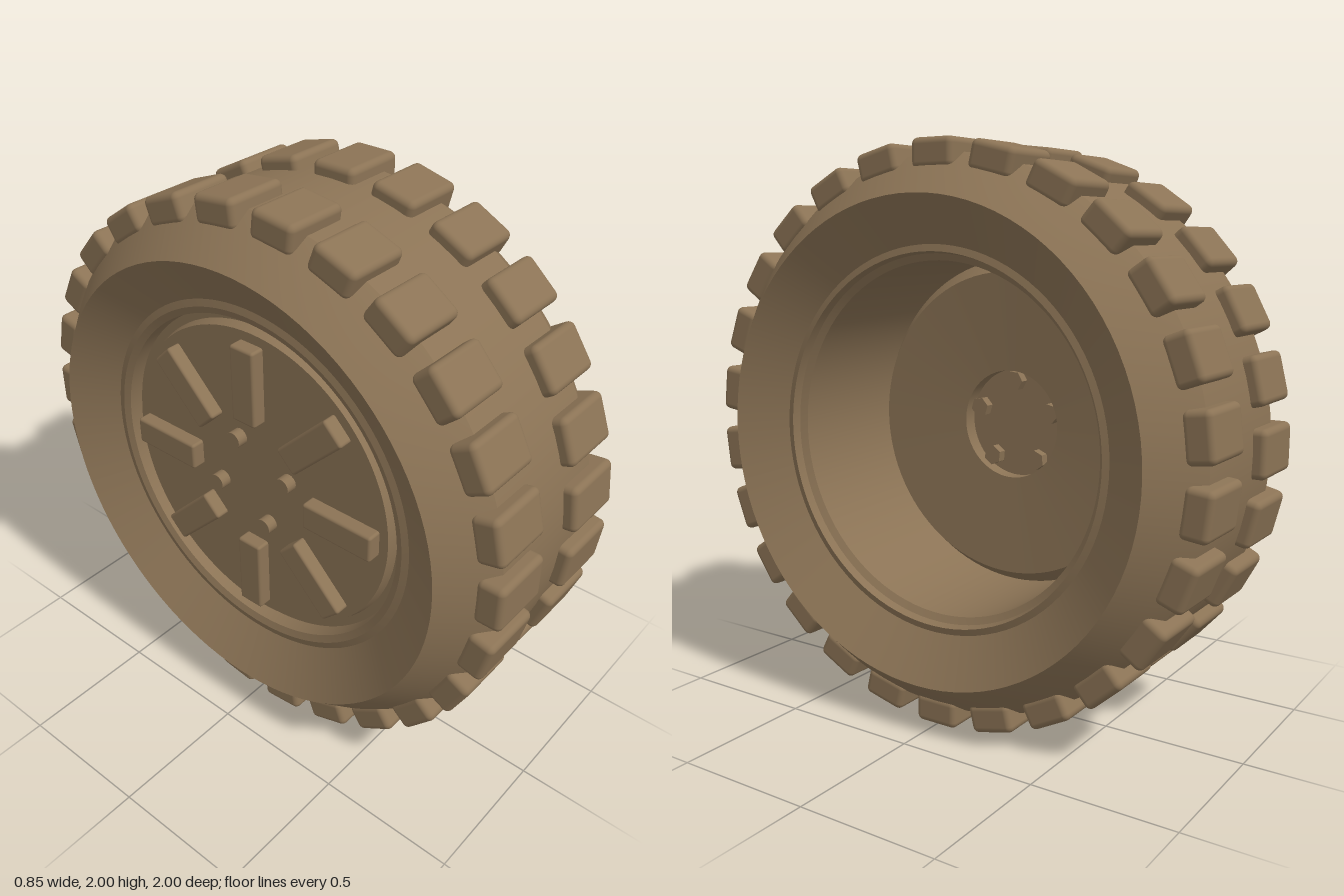
import * as THREE from 'three';
import { toCreasedNormals } from 'three/addons/utils/BufferGeometryUtils.js';
import { RoundedBoxGeometry } from 'three/addons/geometries/RoundedBoxGeometry.js';

const clay = new THREE.MeshStandardMaterial({ color: 0x8b7355 });
clay.name = 'clay brown';

export function createModel() {
  const wheel = new THREE.Group();
  wheel.name = 'wheel';
  wheel.position.y = 1;

  const add = (geometry, name, parent = wheel) => {
    const mesh = new THREE.Mesh(geometry, clay);
    mesh.name = name;
    parent.add(mesh);
    return mesh;
  };

  // Turn a profile of [x, radius] points around the x axis
  const turned = (profile, name) => {
    const points = profile.map(([x, r]) => new THREE.Vector2(r, x));
    const geometry = new THREE.LatheGeometry(points, 96).rotateZ(-Math.PI / 2);
    return add(toCreasedNormals(geometry, 0.5), name);
  };

  // Place a child at an angle around the axle; angle 0 is the top, going towards +z
  const around = (parent, angle) => {
    const pivot = new THREE.Group();
    pivot.rotation.x = angle;
    parent.add(pivot);
    return pivot;
  };

  // Tyre carcass with bevelled shoulders and dished sidewalls
  turned([
    [-0.32, 0.66], [-0.425, 0.82], [-0.31, 0.921], [-0.255, 0.955],
    [0.255, 0.955], [0.31, 0.921], [0.425, 0.82], [0.32, 0.66],
  ], 'tyre');

  // Outer rim face, lip and recessed disc
  turned([
    [-0.3, 0], [-0.3, 0.565], [-0.265, 0.575], [-0.265, 0.605],
    [-0.315, 0.61], [-0.325, 0.635], [-0.32, 0.66],
  ], 'rimFace');

  // Inner lip, deep barrel, back of the disc and hub pocket
  turned([
    [0.32, 0.66], [0.325, 0.637], [0.295, 0.63], [0.28, 0.607],
    [-0.2, 0.605], [-0.135, 0.56], [-0.155, 0.2], [-0.21, 0.2], [-0.21, 0],
  ], 'rimBarrel');

  // Two staggered rows of tread blocks
  const blockCount = 26;
  const step = (Math.PI * 2) / blockCount;
  const blockShape = new RoundedBoxGeometry(0.236, 0.1, 0.165, 3, 0.022);
  for (const side of [-1, 1]) {
    const row = new THREE.Group();
    row.name = side > 0 ? 'leftTreadRow' : 'rightTreadRow';
    wheel.add(row);
    for (let i = 0; i < blockCount; i++) {
      const pivot = around(row, (i + (side > 0 ? 0 : 0.5)) * step);
      add(blockShape, 'treadBlock', pivot).position.set(side * 0.209, 0.949, 0);
    }
  }

  // Eight raised spokes on the outer face
  const spokeShape = new RoundedBoxGeometry(0.09, 0.28, 0.1, 2, 0.01);
  for (let i = 0; i < 8; i++) {
    const pivot = around(wheel, (i * Math.PI) / 4);
    add(spokeShape, 'spoke', pivot).position.set(-0.305, 0.39, 0);
  }

  // Four wheel nuts on the outer face
  const nutShape = new THREE.CylinderGeometry(0.03, 0.03, 0.06, 16).rotateZ(Math.PI / 2);
  for (let i = 0; i < 4; i++) {
    const pivot = around(wheel, Math.PI / 2 * i - Math.PI / 8);
    add(nutShape, 'wheelNut', pivot).position.set(-0.31, 0.165, 0);
  }

  // Five hexagonal bolts inside the hub pocket
  const boltShape = toCreasedNormals(
    new THREE.CylinderGeometry(0.037, 0.037, 0.05, 6).rotateZ(Math.PI / 2), 0.5);
  for (let i = 0; i < 5; i++) {
    const pivot = around(wheel, (i * Math.PI * 2) / 5);
    add(boltShape, 'hubBolt', pivot).position.set(-0.2, 0.16, 0);
  }

  const model = new THREE.Group();
  model.name = 'model';
  model.add(wheel);
  return model;
}
